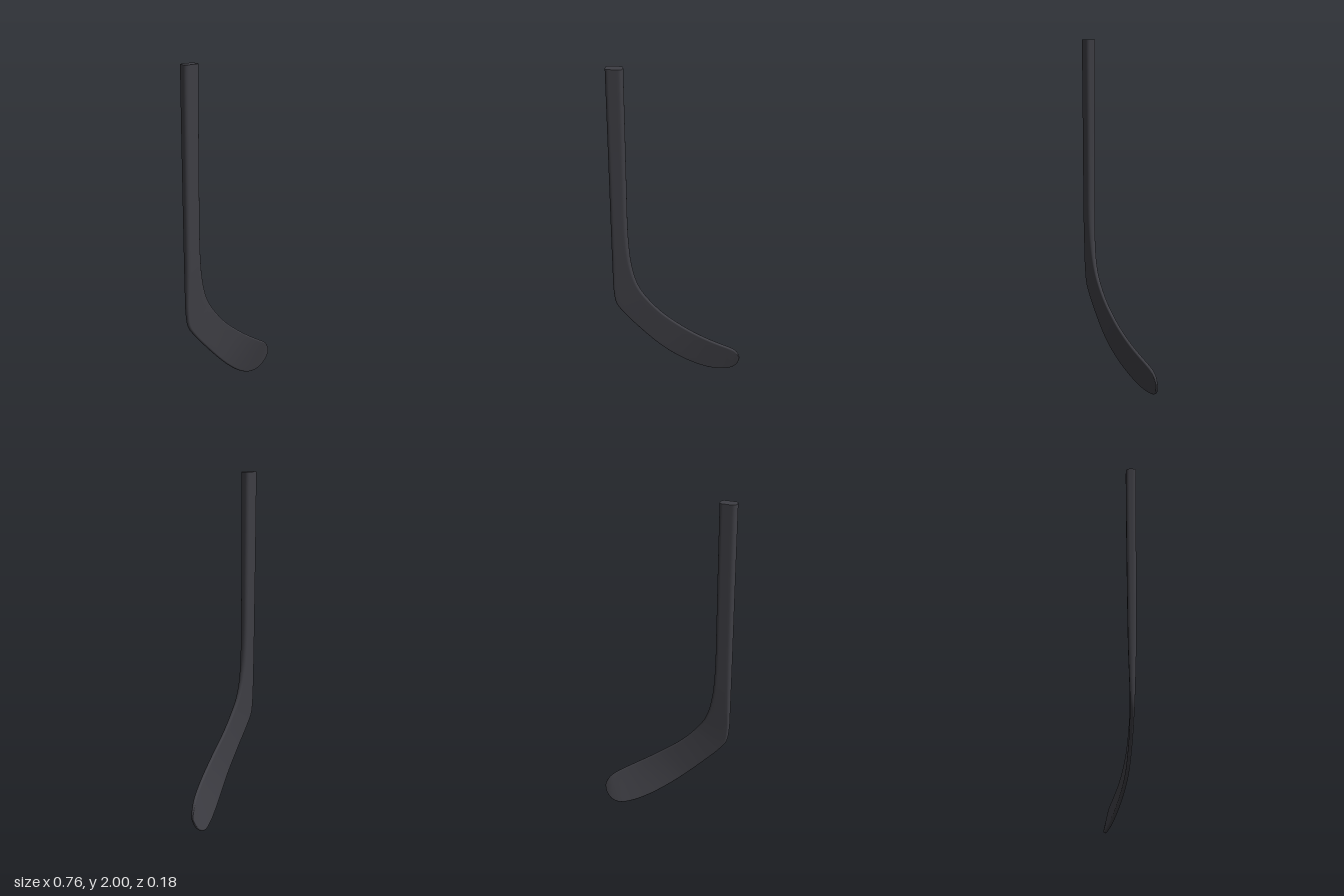
import * as THREE from 'three';

// Stations from the butt end to the toe:
// [heel-side edge x, y, z,  inner edge x, y, z,  thickness]
const STATIONS = [
  [-0.38, 2.0, 0.06, -0.285, 2.0, 0.06, 0.06],
  [-0.38, 1.6, 0.06, -0.285, 1.6, 0.06, 0.056],
  [-0.38, 1.25, 0.061, -0.285, 1.25, 0.061, 0.052],
  [-0.38, 1.0, 0.062, -0.284, 1.03, 0.062, 0.049],
  [-0.38, 0.85, 0.062, -0.278, 0.9, 0.062, 0.045],
  [-0.38, 0.72, 0.062, -0.267, 0.8, 0.062, 0.038],
  [-0.378, 0.61, 0.062, -0.248, 0.71, 0.062, 0.031],
  [-0.364, 0.52, 0.061, -0.218, 0.635, 0.062, 0.026],
  [-0.32, 0.455, 0.059, -0.17, 0.565, 0.061, 0.023],
  [-0.22, 0.345, 0.052, -0.085, 0.472, 0.054, 0.021],
  [-0.1, 0.225, 0.036, 0.03, 0.38, 0.04, 0.02],
  [0.0, 0.14, 0.01, 0.12, 0.317, 0.023, 0.02],
  [0.1, 0.07, -0.023, 0.2, 0.266, 0.003, 0.02],
  [0.2, 0.02, -0.057, 0.265, 0.226, -0.018, 0.02],
  [0.28, 0.003, -0.082, 0.312, 0.196, -0.036, 0.019],
  [0.33, 0.018, -0.085, 0.345, 0.168, -0.052, 0.018],
  [0.362, 0.052, -0.078, 0.367, 0.136, -0.062, 0.016],
  [0.376, 0.09, -0.07, 0.376, 0.106, -0.067, 0.011],
];

// Rounded rectangle, counterclockwise, with the wide sides subdivided
function sectionOutline(width, thick) {
  const r = Math.min(0.02, thick * 0.49, width * 0.49);
  const hw = width / 2 - r, ht = thick / 2 - r;
  const pts = [];
  [[1, 1], [-1, 1], [-1, -1], [1, -1]].forEach(([sx, sy], q) => {
    for (let k = 0; k <= 5; k++) {
      const a = (q + k / 5) * Math.PI / 2;
      pts.push([sx * hw + r * Math.cos(a), sy * ht + r * Math.sin(a)]);
    }
    // Points along the top and bottom faces
    if (q % 2 === 0) for (let k = 1; k < 6; k++) {
      pts.push([sx * hw * (1 - k / 3), sy * (ht + r)]);
    }
  });
  return pts;
}

function stickGeometry(steps) {
  const edge = (o) => new THREE.CatmullRomCurve3(
    STATIONS.map((s) => new THREE.Vector3(s[o], s[o + 1], s[o + 2])), false, 'centripetal');
  const heelEdge = edge(0), innerEdge = edge(3);
  const mid = (t) => heelEdge.getPoint(t).add(innerEdge.getPoint(t)).multiplyScalar(0.5);
  const rings = [];
  for (let i = 0; i <= steps; i++) {
    const t = i / steps;
    const f = t * (STATIONS.length - 1), k = Math.min(Math.floor(f), STATIONS.length - 2);
    const thick = THREE.MathUtils.lerp(STATIONS[k][6], STATIONS[k + 1][6], f - k);
    const across = innerEdge.getPoint(t).sub(heelEdge.getPoint(t));
    const width = across.length();
    across.normalize();
    const along = mid(Math.min(1, t + 0.01)).sub(mid(Math.max(0, t - 0.01)));
    const normal = across.clone().cross(along).normalize();
    const centre = mid(t);
    rings.push(sectionOutline(width, thick).map(([u, v]) =>
      centre.clone().addScaledVector(across, u).addScaledVector(normal, v)));
  }
  const n = rings[0].length;
  const pos = [], idx = [];
  rings.forEach((ring) => ring.forEach((p) => pos.push(p.x, p.y, p.z)));
  for (let i = 0; i < steps; i++) for (let j = 0; j < n; j++) {
    const a = i * n + j, b = i * n + (j + 1) % n;
    idx.push(a, a + n, b, b, a + n, b + n);
  }
  // Flat butt end and small toe closure, with their own vertices
  const cap = (ring, flip) => {
    const base = pos.length / 3;
    const c = ring.reduce((s, p) => s.add(p), new THREE.Vector3()).divideScalar(n);
    [c, ...ring].forEach((p) => pos.push(p.x, p.y, p.z));
    for (let j = 0; j < n; j++) {
      const a = base + 1 + j, b = base + 1 + (j + 1) % n;
      idx.push(base, flip ? b : a, flip ? a : b);
    }
  };
  cap(rings[0], false);
  cap(rings[steps], true);
  const geo = new THREE.BufferGeometry();
  geo.setAttribute('position', new THREE.Float32BufferAttribute(pos, 3));
  geo.setIndex(idx);
  geo.computeVertexNormals();
  return geo;
}

export function createModel() {
  const group = new THREE.Group();
  group.name = 'hockeyStick';
  // Shaft and curved blade as one continuous loft
  const stick = new THREE.Mesh(stickGeometry(102),
    new THREE.MeshStandardMaterial({ color: 0x3e3e44 }));
  stick.name = 'shaftAndBlade';
  group.add(stick);
  return group;
}
